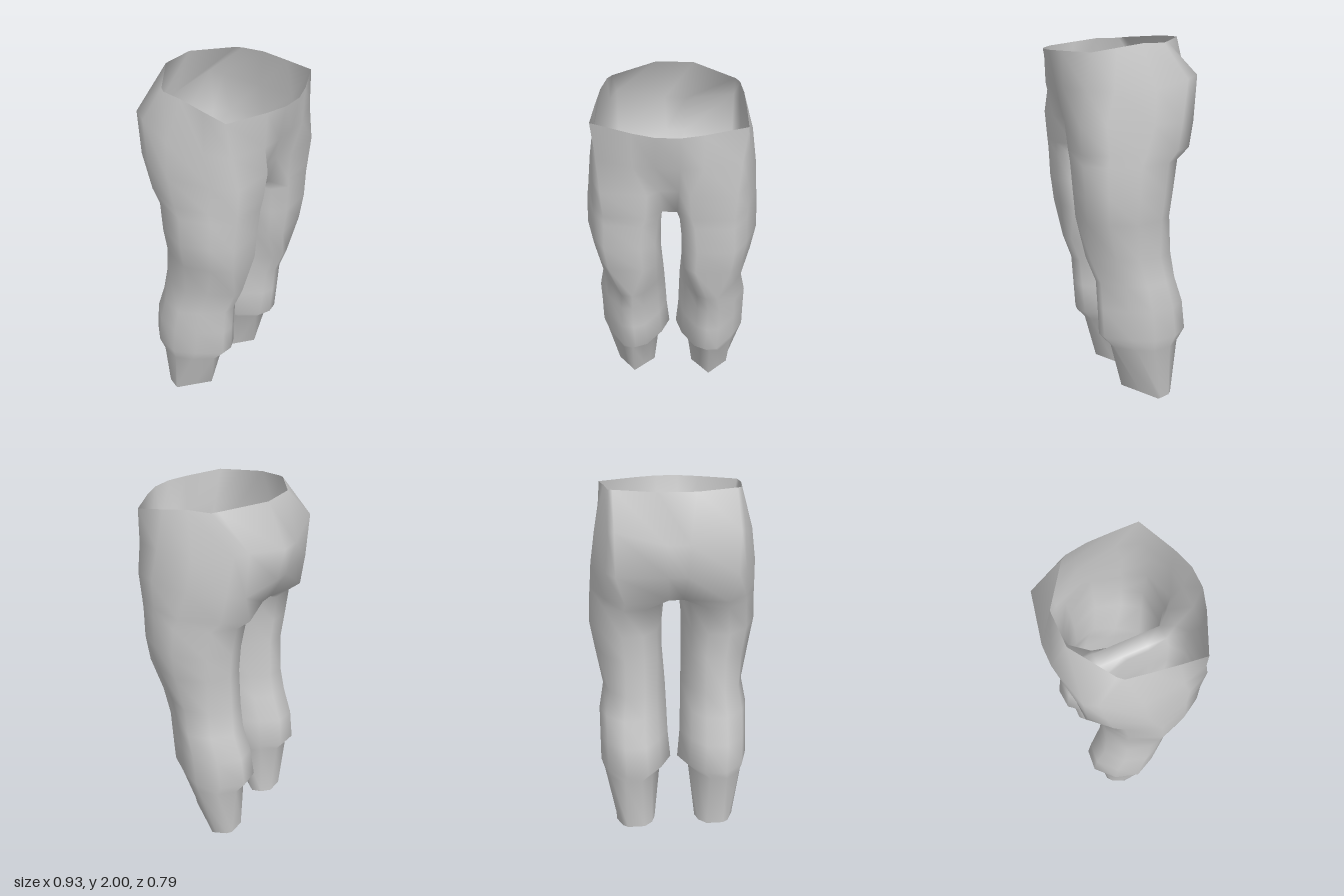
import * as THREE from 'three';

// Cross-section outlines of the left half: [across: 0 inner .. 1 outer, depth: 0 back .. 1 front].
// Order: front inner, round the outside to back inner, then the inner-thigh points.
const WAIST = [[0, 1], [.35, .95], [1, .82], [.97, .62], [.93, .42], [.87, .25], [.8, .21], [.12, 0]];
const HIP = [[0, 1], [.32, .99], [.84, .9], [.95, .72], [1, .43], [.81, .16], [.72, .073], [0, 0]];
const SEAT = [[0, .93], [.15, 1], [.75, .98], [.89, .8], [1, .45], [.81, .18], [.68, .06], [0, .02]];
const CROTCH = [[0, .89], [.19, 1], [.72, .985], [.89, .79], [1, .51], [.81, .19], [.56, .02], [0, .11],
  [0, .29], [0, .5], [0, .72]];
const THIGH = [[.04, .89], [.22, 1], [.71, .98], [.87, .78], [1, .49], [.83, .17], [.57, 0], [.29, .02],
  [.09, .2], [0, .48], [0, .7]];
const CALF = [[.3, .94], [.46, 1], [.63, .98], [.86, .72], [1, .48], [.9, .2], [.65, 0], [.35, .02],
  [.15, .22], [0, .47], [.1, .7]];
const CUFF = [[.25, .67], [.5, 1], [.75, .67], [1, .35], [.96, .27], [.85, .08], [.72, 0], [.28, 0],
  [.08, .15], [0, .35], [.12, .5]];

// Height rules: the waist rises to the back, the hip bulges higher at its rear corner,
// and the cuff arches up at the front.
const waistY = [1.94, 1.94, 1.94, 1.96, 1.98, 1.98, 1.985, 2];
const hipY = [1.75, 1.75, 1.75, 1.75, 1.75, 1.79, 1.81, 1.75];
const cuffY = (i) => 0.065 * Math.max(0, (CUFF[i][1] - 0.35) / 0.65);

// Rings from waist to cuff: outline, height, inner x, outer x, front z, back z
const RINGS = [
  [WAIST, (i) => waistY[i], .06, .385, .395, -.315],
  [HIP, (i) => hipY[i], .06, .42, .36, -.395],
  [SEAT, 1.57, .05, .445, .33, -.365],
  [CROTCH, 1.42, .04, .455, .315, -.335],
  [THIGH, 1.36, .045, .46, .31, -.25],
  [THIGH, 1.2, .06, .465, .3, -.225],
  [THIGH, 1.05, .06, .44, .285, -.21],
  [CALF, .84, .045, .4, .25, -.22],
  [CALF, .7, .04, .425, .195, -.24],
  [CALF, .55, .035, .425, .185, -.29],
  [CALF, .385, .02, .425, .175, -.31],
  [CALF, .32, .085, .405, .115, -.26],
  [CUFF, cuffY, .12, .345, .05, -.23],
];
const CROTCH_RING = 3;

function trouserGeometry() {
  const positions = [], index = [];

  // Each ring point is stored with its mirror image right after it
  const rings = RINGS.map(([outline, y, xIn, xOut, zFront, zBack]) => outline.map(([u, w], i) => {
    const x = xIn + (xOut - xIn) * u;
    const z = zBack + (zFront - zBack) * w;
    const h = typeof y === 'function' ? y(i) : y;
    positions.push(x, h, z, -x, h, z);
    return positions.length / 3 - 2;
  }));
  const quad = (a, b, c, d) => index.push(a, b, c, a, c, d);

  for (let r = 0; r < rings.length - 1; r++) {
    const up = rings[r], low = rings[r + 1];
    const pelvis = r < CROTCH_RING;

    // Outer walls of the pelvis, or the closed tubes of both legs
    const count = pelvis ? 7 : 11;
    for (let i = 0; i < count; i++) {
      const j = (i + 1) % 11;
      quad(up[i], low[i], low[j], up[j]);
      quad(low[i] + 1, up[i] + 1, up[j] + 1, low[j] + 1);
    }

    // Centre strips at the front and back of the pelvis
    if (pelvis) {
      quad(up[0] + 1, low[0] + 1, low[0], up[0]);
      quad(up[7], low[7], low[7] + 1, up[7] + 1);
    }
  }

  // Crotch strip bridging the two legs
  const seam = [0, 10, 9, 8, 7].map((i) => rings[CROTCH_RING][i]);
  for (let k = 0; k < seam.length - 1; k++) {
    quad(seam[k], seam[k] + 1, seam[k + 1] + 1, seam[k + 1]);
  }

  const geometry = new THREE.BufferGeometry();
  geometry.setAttribute('position', new THREE.Float32BufferAttribute(positions, 3));
  geometry.setIndex(index);
  geometry.computeVertexNormals();
  return geometry;
}

export function createModel() {
  const cloth = new THREE.MeshStandardMaterial({ color: 0xcccccc, side: THREE.DoubleSide });
  cloth.name = 'light grey cloth';

  const trousers = new THREE.Mesh(trouserGeometry(), cloth);
  trousers.name = 'trousers';

  const model = new THREE.Group();
  model.name = 'trousersModel';
  model.add(trousers);
  return model;
}
